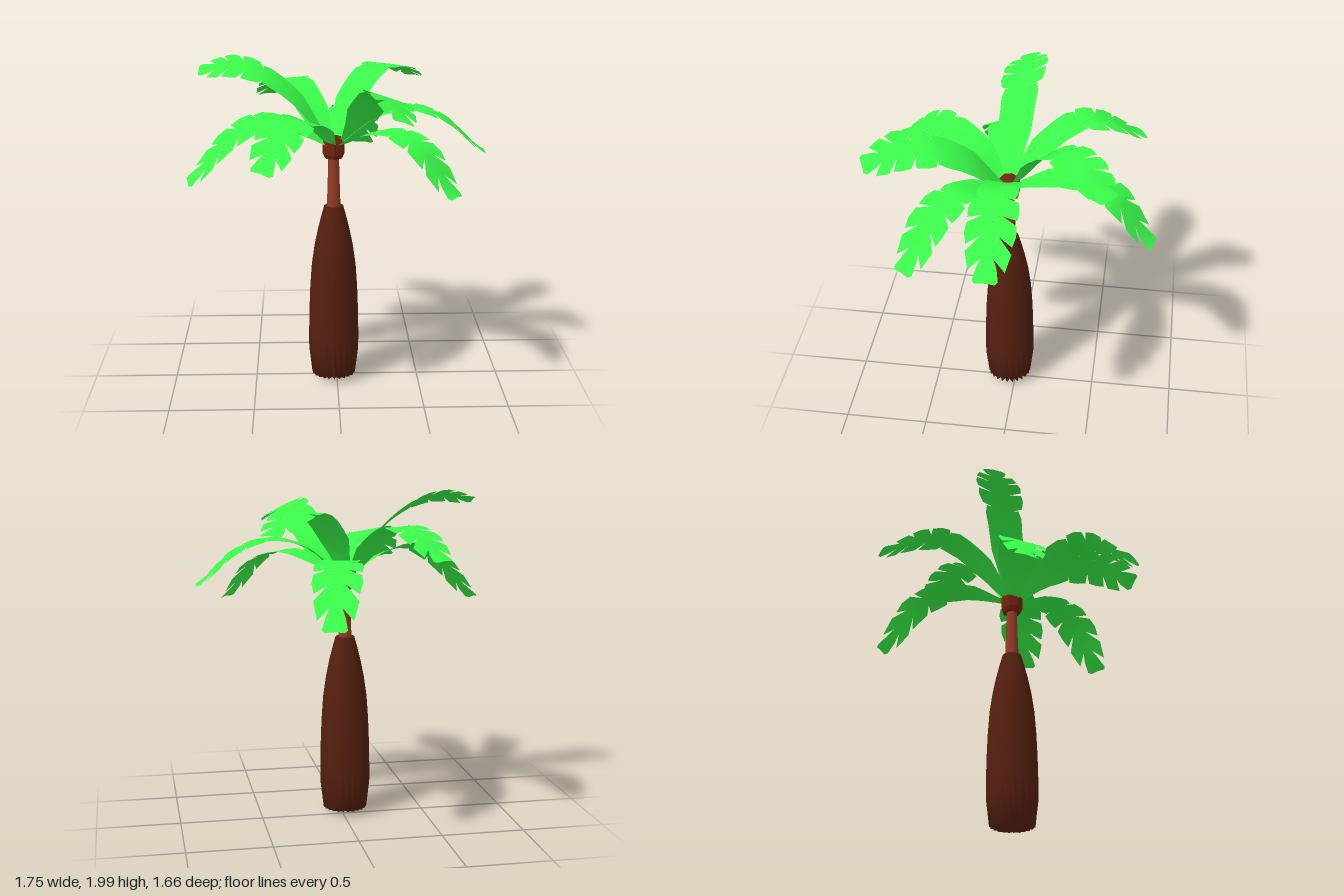
import * as THREE from 'three';

const CENTRE = { x: -0.02, z: 0.04 };
const mat = (color, opts = {}) => {
  const m = new THREE.MeshStandardMaterial(opts);
  m.color.set(color);
  return m;
};

// Half leaf outline: [position on the midrib, position of the edge, half width]
const OUTLINE = [
  [0, 0, 0.02], [0.06, 0.07, 0.045], [0.13, 0.15, 0.075], [0.2, 0.23, 0.105], [0.27, 0.31, 0.108],
  [0.34, 0.39, 0.11], [0.41, 0.47, 0.115], [0.45, 0.53, 0.1], [0.49, 0.52, 0.06],
  [0.51, 0.55, 0.125], [0.56, 0.62, 0.14], [0.6, 0.68, 0.135], [0.63, 0.66, 0.055],
  [0.65, 0.71, 0.135], [0.69, 0.77, 0.14], [0.72, 0.82, 0.125], [0.75, 0.78, 0.05],
  [0.77, 0.85, 0.125], [0.81, 0.93, 0.1], [0.85, 0.88, 0.035],
  [0.89, 0.92, 0.055], [0.94, 0.98, 0.07], [1, 1, 0.055],
];

// Fronds: tip x, tip z, heights at each quarter of the reach, roll, sideways bend
const FRONDS = [
  [0.87, 0.05, [1.645, 1.705, 1.635, 1.45], 0, 0],
  [0.51, -0.57, [1.73, 1.88, 1.88, 1.79], 0, -0.03],
  [0.2, -0.82, [1.575, 1.62, 1.55, 1.3], 0, 0],
  [-0.43, -0.71, [1.67, 1.8, 1.77, 1.65], 0, -0.03],
  [-0.8, 0.01, [1.73, 1.89, 1.955, 1.93], 0.32, 0],
  [-0.87, 0.2, [1.59, 1.64, 1.525, 1.31], 0.25, 0],
  [-0.43, 0.8, [1.63, 1.71, 1.67, 1.51], 0.2, 0],
  [0.33, 0.81, [1.7, 1.83, 1.86, 1.78], 0.36, -0.09],
  [0.65, 0.55, [1.56, 1.61, 1.53, 1.3], 0, 0],
];

// Lobed leaf bent along a rising and drooping spine
function frondGeometry(tipX, tipZ, heights, roll, bend) {
  const spine = new THREE.SplineCurve(
    [1.47, ...heights].map((y, i) => new THREE.Vector2(i / 4, y)));
  const dx = tipX - CENTRE.x, dz = tipZ - CENTRE.z, len = Math.hypot(dx, dz);
  const sideX = -dz / len, sideZ = dx / len;
  const columns = [-1, -0.5, 0, 0.5, 1];
  const pos = [], index = [];
  for (const [mid, edge, width] of OUTLINE) {
    for (const c of columns) {
      const a = Math.abs(c);
      const u = THREE.MathUtils.lerp(mid, edge, a);
      const s = c * width;
      const across = s * Math.cos(roll) + bend * Math.sin(Math.PI * Math.sqrt(u));
      const fold = 0.25 * a * width * (0.6 - u);
      pos.push(
        CENTRE.x + dx * u + sideX * across,
        spine.getPoint(u).y + fold + s * Math.sin(roll),
        CENTRE.z + dz * u + sideZ * across);
    }
  }
  const n = columns.length;
  for (let i = 0; i < OUTLINE.length - 1; i++) {
    for (let j = 0; j < n - 1; j++) {
      const a = i * n + j, b = a + n;
      index.push(a, a + 1, b, a + 1, b + 1, b);
    }
  }
  const g = new THREE.BufferGeometry();
  g.setAttribute('position', new THREE.Float32BufferAttribute(pos, 3));
  g.setIndex(index);
  g.computeVertexNormals();
  return g;
}

// Solid of revolution from [radius, height] pairs
const lathe = (points, sides) =>
  new THREE.LatheGeometry(points.map(([r, y]) => new THREE.Vector2(r, y)), sides);

export function createModel() {
  const group = new THREE.Group();
  const add = (name, geometry, material) => {
    const mesh = new THREE.Mesh(geometry, material);
    mesh.name = name;
    mesh.position.set(CENTRE.x, 0, CENTRE.z);
    group.add(mesh);
  };

  // Swollen lower trunk, its foot pinched into pleats
  const SIDES = 48;
  const profile = [
    [0, 0], [0.133, 0.035], [0.152, 0.2], [0.152, 0.3], [0.149, 0.45], [0.143, 0.6],
    [0.133, 0.74], [0.116, 0.86], [0.096, 0.96], [0.076, 1.04], [0.057, 1.11],
  ];
  const trunk = lathe(profile, SIDES);
  const p = trunk.attributes.position;
  for (let i = 1; i < SIDES; i += 2) {
    const k = i * profile.length + 1;
    p.setXYZ(k, p.getX(k) * 0.86, 0.05, p.getZ(k) * 0.86);
  }
  trunk.computeVertexNormals();
  const bark = mat(0x551f10);
  add('lowerTrunk', trunk, bark);
  add('trunkShoulder', lathe([[0.057, 1.11], [0, 1.112]], SIDES), bark);

  // Slim upper trunk
  add('upperTrunk', lathe([[0.041, 1.1], [0.036, 1.25], [0.031, 1.43]], 16), mat(0x953c26));

  // Faceted crown holding the fronds
  add('crown', lathe([[0, 1.4], [0.055, 1.405], [0.066, 1.43], [0.066, 1.5], [0.05, 1.53], [0, 1.535]], 7),
    mat(0x73240f, { flatShading: true }));

  // Fronds
  const leaf = mat(0x3aff4a, { side: THREE.DoubleSide });
  const fronds = new THREE.Group();
  fronds.name = 'fronds';
  FRONDS.forEach((f, i) => {
    const mesh = new THREE.Mesh(frondGeometry(...f), leaf);
    mesh.name = `frond${i + 1}`;
    fronds.add(mesh);
  });
  group.add(fronds);
  return group;
}
